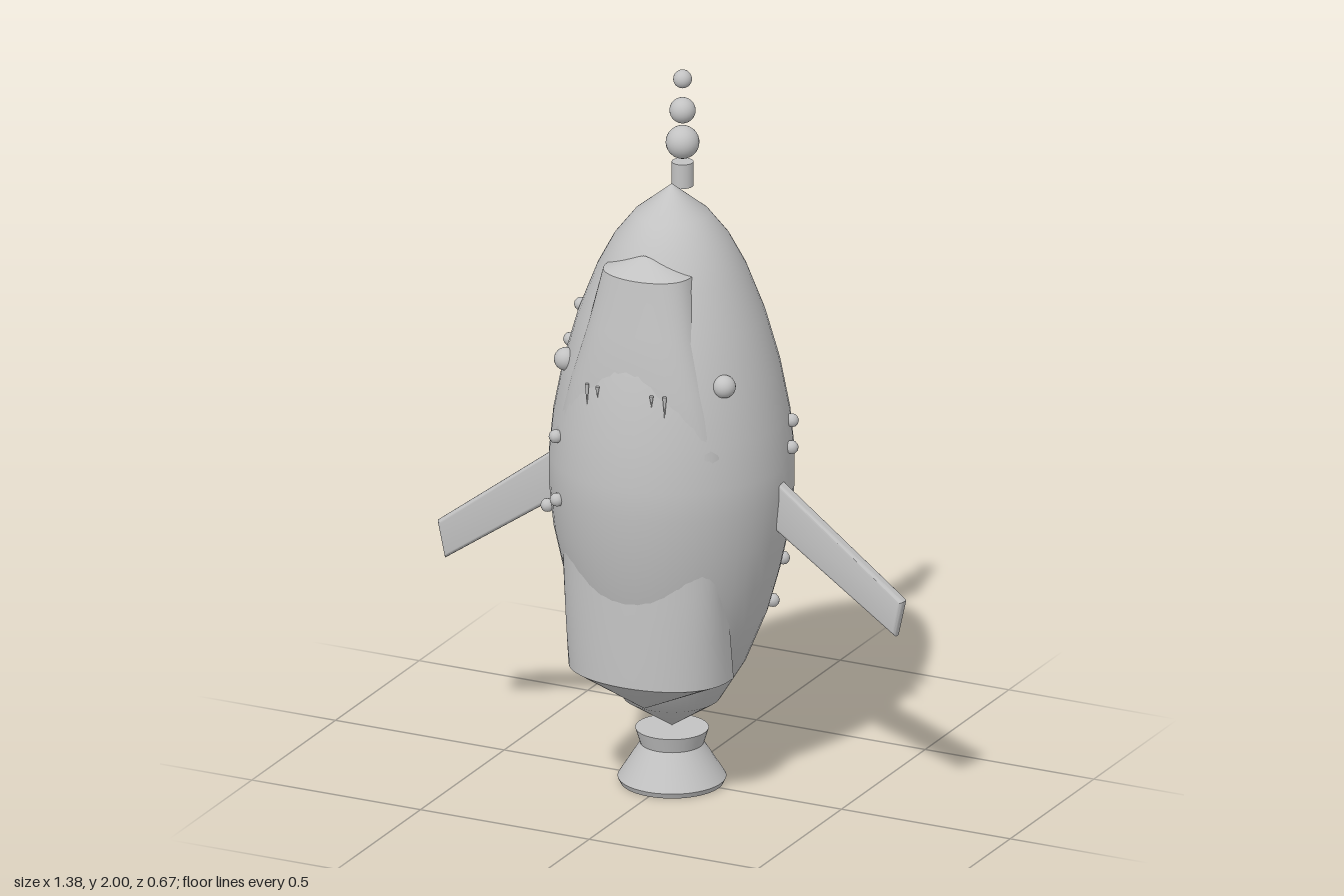
import * as THREE from 'three';
import { toCreasedNormals } from 'three/addons/utils/BufferGeometryUtils.js';

export function createModel() {
  const model = new THREE.Group();
  model.name = 'whaleRocket';
  const grey = new THREE.MeshStandardMaterial({ color: 0xc2c2c2 });
  grey.name = 'lightGrey';

  const add = (name, geometry, x = 0, y = 0, z = 0) => {
    const mesh = new THREE.Mesh(geometry, grey);
    mesh.name = name;
    mesh.position.set(x, y, z);
    model.add(mesh);
    return mesh;
  };
  const lathe = (points, segments) =>
    new THREE.LatheGeometry(points.map(([r, y]) => new THREE.Vector2(r, y)), segments);

  // Spindle-shaped body
  add('body', lathe([
    [0, 0.162], [0.13, 0.247], [0.2, 0.362], [0.256, 0.5], [0.289, 0.62], [0.315, 0.74],
    [0.327, 0.86], [0.327, 0.94], [0.315, 1.06], [0.288, 1.2], [0.25, 1.335],
    [0.2, 1.465], [0.155, 1.55], [0.1, 1.62], [0, 1.7],
  ], 48), 0, 0, 0.006);

  // Belly plate: D-shaped sections [y, half width, front z, back z], pointed at both ends
  const sections = [
    [0.265, 0.001, 0.171, 0.17], [0.365, 0.23, 0.295, 0.1], [0.5, 0.232, 0.294, 0.125],
    [0.62, 0.232, 0.289, 0.15], [0.8, 0.236, 0.285, 0.16], [1.03, 0.25, 0.285, 0.172],
    [1.2, 0.2, 0.288, 0.175], [1.35, 0.157, 0.262, 0.16], [1.5, 0.125, 0.238, 0.133],
    [1.55, 0.001, 0.171, 0.17],
  ];
  const arc = 24, positions = [], index = [];
  for (const [y, w, front, back] of sections) {
    for (let j = 0; j <= arc; j++) {
      const a = (j / arc - 0.5) * Math.PI;
      const c = Math.max(0, Math.cos(a));
      positions.push(w * Math.sin(a), y, back + (front - back) * Math.pow(c, 0.75));
    }
  }
  const n = arc + 1;
  for (let i = 0; i < sections.length - 1; i++) {
    for (let j = 0; j < n; j++) {
      const a = i * n + j, b = i * n + (j + 1) % n;
      index.push(a, b, a + n, b, b + n, a + n);
    }
  }
  const plate = new THREE.BufferGeometry();
  plate.setAttribute('position', new THREE.Float32BufferAttribute(positions, 3));
  plate.setIndex(index);
  add('bellyPlate', toCreasedNormals(plate, 0.6));

  // Swept side fins with rounded edges
  const finGeometry = (s) => {
    const shape = new THREE.Shape([[0.25, 0.952], [0.678, 0.625], [0.662, 0.543], [0.25, 0.828]]
      .map(([x, y]) => new THREE.Vector2(s * x, y)));
    const geo = new THREE.ExtrudeGeometry(shape, {
      depth: 0.006, bevelEnabled: true, bevelSize: 0.012, bevelThickness: 0.015, bevelSegments: 4,
    });
    return toCreasedNormals(geo.translate(0, 0, -0.003), 0.6);
  };

  // Fins, eyes and the small spikes under the plate edge, on both sides
  for (const [side, s] of [['left', 1], ['right', -1]]) {
    add(side + 'Fin', finGeometry(s), 0, 0, 0.005);
    add(side + 'Eye', new THREE.SphereGeometry(0.031, 24, 16), s * 0.235, 1.217, 0.167);
    for (const [x, h, z] of [[0.115, 0.07, 0.281], [0.08, 0.035, 0.289]]) {
      const spike = add(side + 'Spike', new THREE.ConeGeometry(0.006, h, 8), s * x, 1.205 - h / 2, z);
      spike.rotation.x = Math.PI;
    }
  }

  // Tail nozzle with a shallow hollow underneath
  add('nozzle', toCreasedNormals(lathe([
    [0, 0.045], [0.138, 0.005], [0.145, 0.02],
    [0.085, 0.115], [0.098, 0.157], [0, 0.157],
  ], 40), 0.5), 0, 0, 0.005);

  // Blowhole and rising drops
  add('blowhole', new THREE.CylinderGeometry(0.029, 0.029, 0.068, 24), 0, 1.707, -0.058);
  for (const [y, r] of [[1.796, 0.045], [1.886, 0.035], [1.975, 0.025]]) {
    add('drop', new THREE.SphereGeometry(r, 24, 16), 0, y, -0.058);
  }

  // Barnacles scattered over the body
  const barnacles = [
    [-0.235, 1.342, 0.075], [-0.267, 1.237, 0.075], [-0.29, 1.19, -0.02],
    [-0.229, 1.022, 0.238], [-0.215, 0.852, 0.26], [-0.29, 0.792, 0.165],
    [0.307, 1.046, -0.092], [0.321, 0.982, -0.062], [0.252, 0.627, -0.15],
    [0.234, 0.512, -0.125], [-0.047, 1.018, -0.32], [-0.02, 0.573, -0.29],
    [-0.22, 0.722, -0.243],
  ];
  for (const p of barnacles) add('barnacle', new THREE.IcosahedronGeometry(0.019, 1), ...p);

  return model;
}
